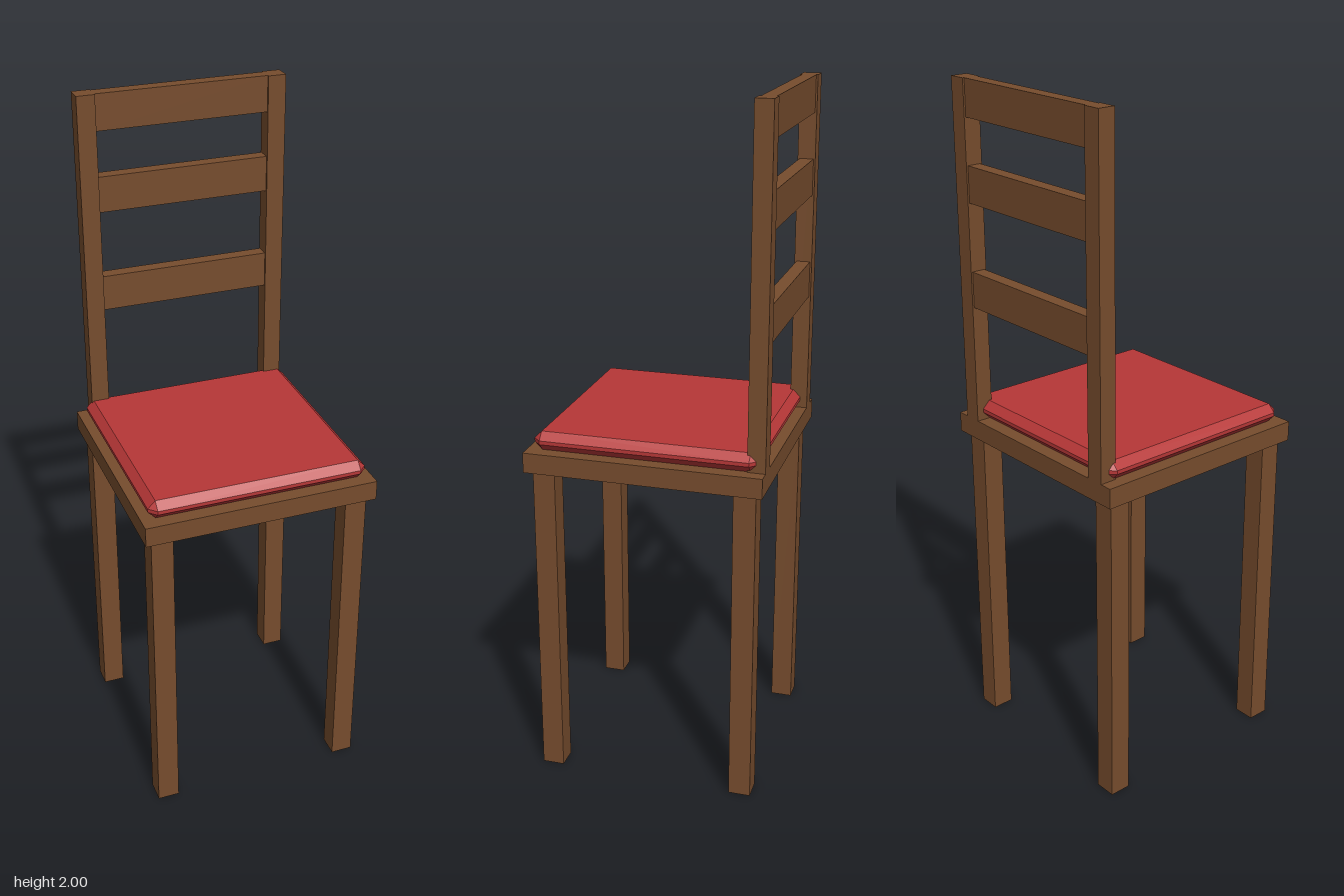
import * as THREE from 'three';
import { ConvexGeometry } from 'three/addons/geometries/ConvexGeometry.js';

const wood = new THREE.MeshStandardMaterial({ color: 0x764c2d });
wood.name = 'brown wood';
const fabric = new THREE.MeshStandardMaterial({ color: 0xb63737 });
fabric.name = 'red fabric';

// Wooden box given by its lower and upper limits on each axis
function board(name, [x0, x1], [y0, y1], [z0, z1]) {
  const mesh = new THREE.Mesh(new THREE.BoxGeometry(x1 - x0, y1 - y0, z1 - z0), wood);
  mesh.position.set((x0 + x1) / 2, (y0 + y1) / 2, (z0 + z1) / 2);
  mesh.name = name;
  return mesh;
}

// Box with every edge and corner cut by a flat bevel
function chamferedBox(hx, hy, hz, b) {
  const points = [];
  for (const x of [-1, 1]) for (const y of [-1, 1]) for (const z of [-1, 1]) {
    points.push(
      new THREE.Vector3(x * hx, y * (hy - b), z * (hz - b)),
      new THREE.Vector3(x * (hx - b), y * hy, z * (hz - b)),
      new THREE.Vector3(x * (hx - b), y * (hy - b), z * hz));
  }
  return new ConvexGeometry(points);
}

export function createModel() {
  const chair = new THREE.Group();
  chair.name = 'chair';

  // Seat board and cushion
  chair.add(board('seat', [-0.343, 0.343], [0.953, 1.012], [-0.343, 0.343]));
  const cushion = new THREE.Mesh(chamferedBox(0.322, 0.0275, 0.322, 0.022), fabric);
  cushion.position.y = 1.0395;
  cushion.name = 'cushion';
  chair.add(cushion);

  for (const [side, s] of [['left', 1], ['right', -1]]) {
    const mirror = (a, b) => (s > 0 ? [a, b] : [-b, -a]);
    // Legs
    chair.add(board(side + 'FrontLeg', mirror(0.258, 0.322), [0, 0.953], [0.258, 0.322]));
    chair.add(board(side + 'BackLeg', mirror(0.258, 0.322), [0, 0.953], [-0.322, -0.258]));
    // Backrest posts
    chair.add(board(side + 'BackPost', mirror(0.253, 0.306), [1.012, 2], [-0.343, -0.292]));
  }

  // Backrest slats, slightly thinner than the posts
  for (const [name, y0, y1] of [['lower', 1.36, 1.465], ['middle', 1.661, 1.765], ['top', 1.896, 2]]) {
    chair.add(board(name + 'Slat', [-0.253, 0.253], [y0, y1], [-0.338, -0.298]));
  }
  return chair;
}
